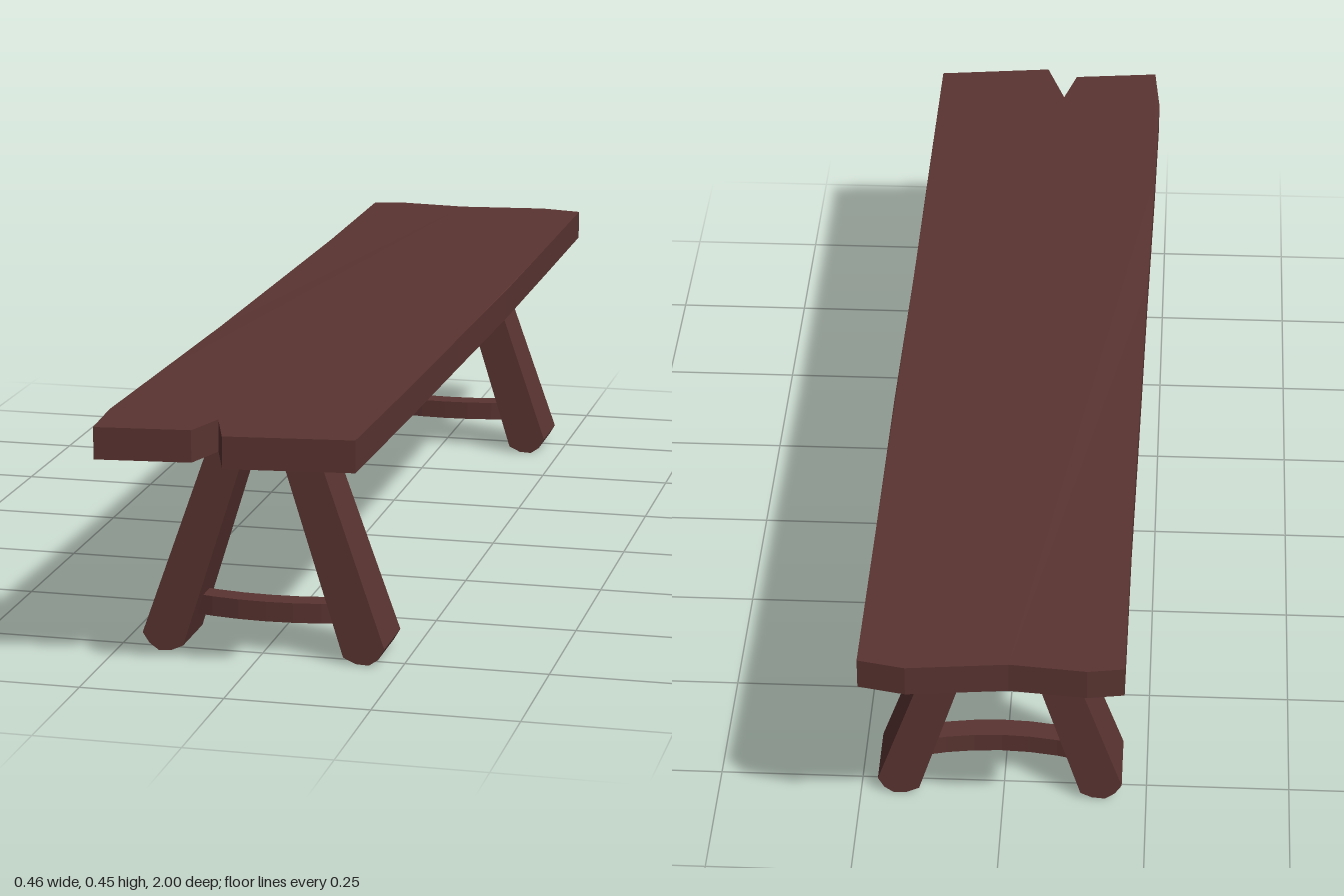
import * as THREE from 'three';

const wood = new THREE.MeshStandardMaterial({ color: 0x5a3431, flatShading: true });

function extrude(points, depth) {
  const shape = new THREE.Shape(points.map(([x, y]) => new THREE.Vector2(x, y)));
  return new THREE.ExtrudeGeometry(shape, { depth, bevelEnabled: false });
}

// Moves every vertex of a geometry by a rule
function reshape(geometry, rule) {
  const p = geometry.attributes.position;
  const v = new THREE.Vector3();
  for (let i = 0; i < p.count; i++) {
    v.fromBufferAttribute(p, i);
    rule(v);
    p.setXYZ(i, v.x, v.y, v.z);
  }
  geometry.computeVertexNormals();
  return geometry;
}

function part(name, geometry) {
  const mesh = new THREE.Mesh(geometry, wood);
  mesh.name = name;
  return mesh;
}

// Rough plank with a split front end and a slight sag
function createSeat() {
  const outline = [
    [-0.212, -0.985], [-0.15, -0.995], [-0.02, -0.982], [0.15, -1], [0.23, -0.983],
    [0.228, -0.6], [0.227, -0.22], [0.222, 0.2], [0.22, 0.58], [0.217, 0.97],
    [0, 0.996], [-0.037, 0.885], [-0.06, 0.968], [-0.222, 0.986],
    [-0.233, 0.86], [-0.23, 0.58], [-0.224, 0.2], [-0.219, -0.22], [-0.214, -0.6],
  ];
  const geometry = extrude(outline, 0.055).rotateX(Math.PI / 2).translate(0, 0.447, 0);
  return part('seat', reshape(geometry, (v) => {
    v.y -= 0.007 * Math.max(0, 1 - v.z * v.z);
  }));
}

// Splayed leg with a worn foot, a little deeper at the floor than at the seat
function createLeg(name, profile) {
  const geometry = extrude(profile, 1).translate(0, 0, -0.5);
  return part(name, reshape(geometry, (v) => {
    v.z *= 0.123 - 0.05 * v.y;
  }));
}

// Crossbar bowed towards the front
function createStretcher() {
  const geometry = new THREE.BoxGeometry(0.29, 0.035, 0.042, 6, 1, 1);
  reshape(geometry, (v) => {
    v.z += 0.022 * (1 - (v.x / 0.145) ** 2) - 0.008;
  });
  geometry.translate(0.005, 0.0745, 0);
  return part('stretcher', geometry);
}

export function createModel() {
  const bench = new THREE.Group();
  bench.name = 'bench';
  bench.add(createSeat());

  const rightProfile = [
    [-0.207, 0.03], [-0.195, 0.012], [-0.178, 0], [-0.155, 0.002],
    [-0.135, 0.011], [-0.012, 0.4], [-0.077, 0.4],
  ];
  const leftProfile = [
    [0.148, 0.011], [0.17, 0.001], [0.193, 0], [0.209, 0.011],
    [0.22, 0.03], [0.09, 0.4], [0.025, 0.4],
  ];
  for (const [name, z] of [['frontTrestle', 0.714], ['backTrestle', -0.728]]) {
    const trestle = new THREE.Group();
    trestle.name = name;
    trestle.position.z = z;
    trestle.add(
      createLeg('rightLeg', rightProfile),
      createLeg('leftLeg', leftProfile),
      createStretcher(),
    );
    bench.add(trestle);
  }
  return bench;
}
